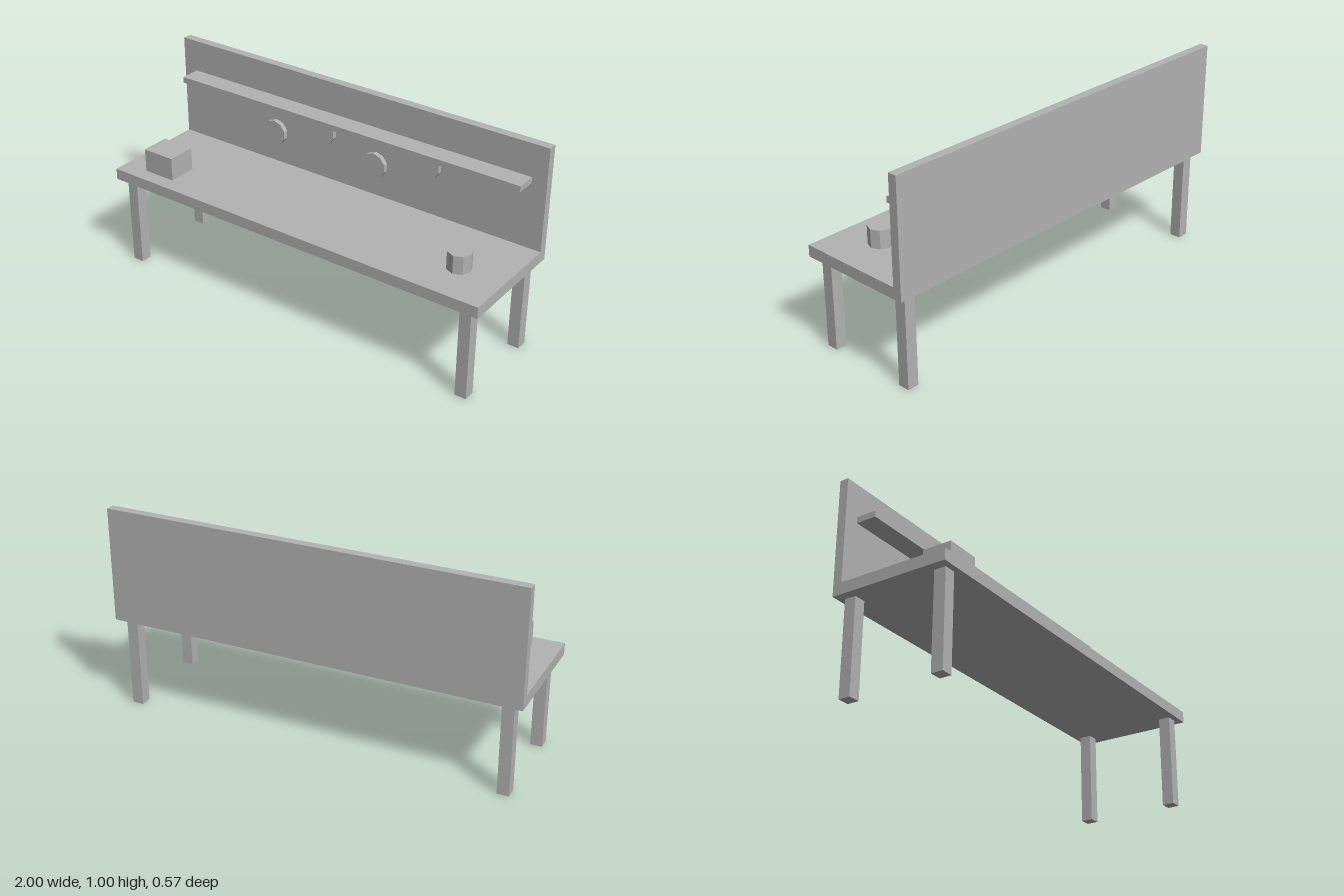
import * as THREE from 'three';

export function createModel() {
  const model = new THREE.Group();
  model.name = 'workbench';
  const grey = new THREE.MeshStandardMaterial({ color: 0xb2b2b2, flatShading: true });
  grey.name = 'plain grey';

  const add = (name, geometry, x, y, z) => {
    const mesh = new THREE.Mesh(geometry, grey);
    mesh.name = name;
    mesh.position.set(x, y, z);
    model.add(mesh);
    return mesh;
  };
  // box given by its extents on each axis
  const box = (name, [x0, x1], [y0, y1], [z0, z1]) =>
    add(name, new THREE.BoxGeometry(x1 - x0, y1 - y0, z1 - z0),
      (x0 + x1) / 2, (y0 + y1) / 2, (z0 + z1) / 2);

  // worktop, back board and the narrow shelf on it
  box('worktop', [-1, 1], [0.445, 0.5], [-0.285, 0.285]);
  box('backBoard', [-1, 1], [0.5, 1], [-0.285, -0.242]);
  box('shelf', [-0.928, 0.928], [0.815, 0.844], [-0.242, -0.143]);

  // four square legs
  for (const sx of [-1, 1])
    for (const sz of [-1, 1])
      add(sz > 0 ? 'frontLeg' : 'backLeg', new THREE.BoxGeometry(0.056, 0.445, 0.056),
        sx * 0.928, 0.2225, sz * 0.228);

  // things standing on the worktop
  box('crate', [-0.871, -0.704], [0.5, 0.614], [0.073, 0.214]);
  add('pot', new THREE.CylinderGeometry(0.057, 0.057, 0.087, 8), 0.783, 0.5435, 0.072);

  // row of staggered ten-sided discs hung on the board
  const discGeometry = new THREE.CylinderGeometry(0.062, 0.062, 0.023, 10);
  discGeometry.rotateX(Math.PI / 2);
  for (let i = 0; i < 4; i++)
    add('wallDisc', discGeometry, -0.43 + i * 0.2857, i % 2 ? 0.746 : 0.66, -0.2305);

  return model;
}
